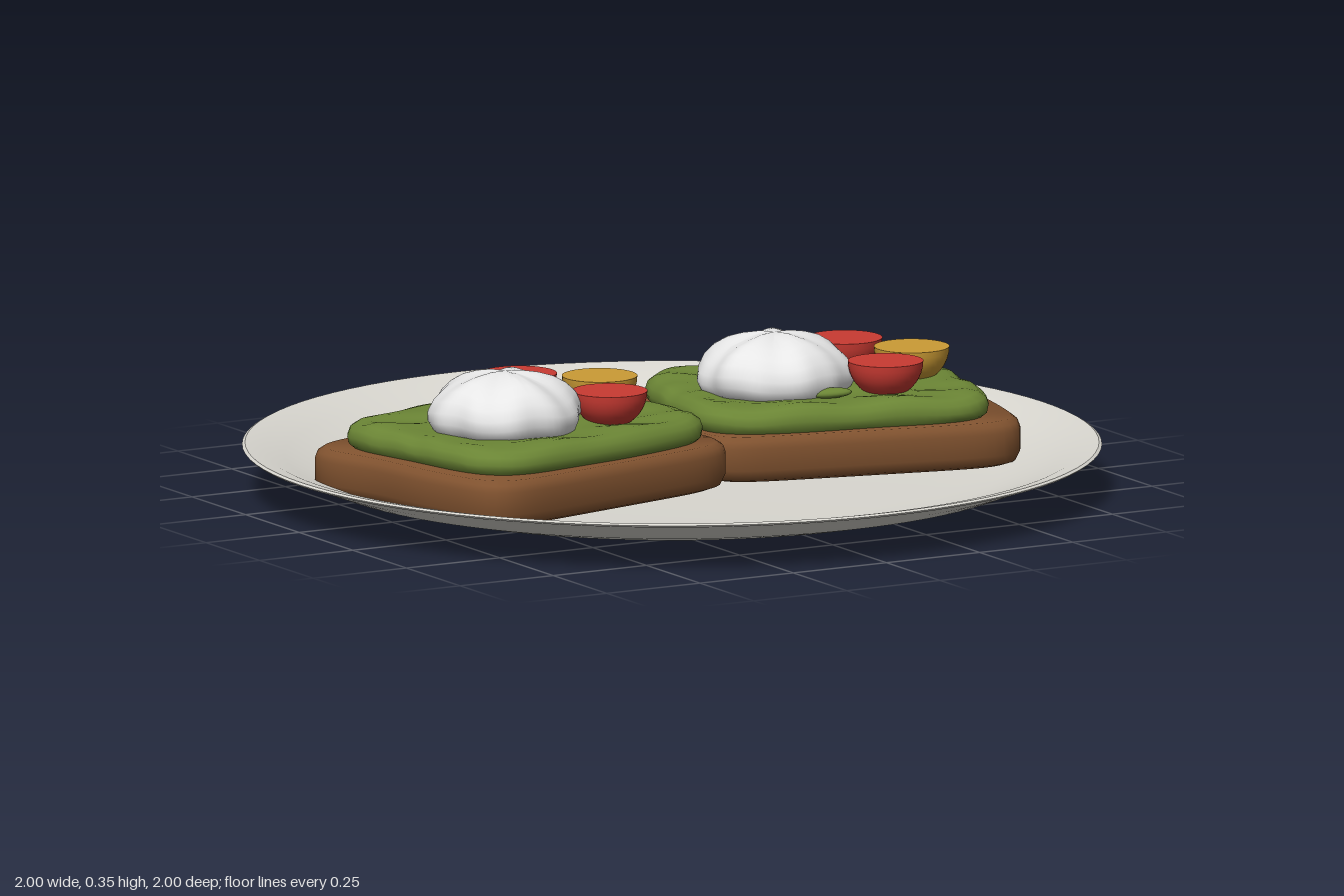
import * as THREE from 'three';
import { toCreasedNormals } from 'three/addons/utils/BufferGeometryUtils.js';

const paint = (name, color) => {
  const m = new THREE.MeshStandardMaterial({ color });
  m.name = name;
  return m;
};

// Lathe from [radius, y] points; an optional rule then moves each vertex.
function turned(points, segments, crease, rule) {
  const g = new THREE.LatheGeometry(points.map(([r, y]) => new THREE.Vector2(r, y)), segments);
  if (rule) {
    const p = g.attributes.position, v = new THREE.Vector3();
    for (let i = 0; i < p.count; i++) {
      v.fromBufferAttribute(p, i);
      rule(v, Math.atan2(v.x, v.z), Math.hypot(v.x, v.z));
      p.setXYZ(i, v.x, v.y, v.z);
    }
  }
  return toCreasedNormals(g, crease);
}

// Stretches a unit circle into a rounded rectangle of half sizes a and b.
function squareOff(v, angle, a, b, n) {
  const s = Math.abs(Math.sin(angle)) / a, c = Math.abs(Math.cos(angle)) / b;
  const k = Math.pow(Math.pow(s, n) + Math.pow(c, n), -1 / n);
  v.x *= k;
  v.z *= k;
}

export function createModel() {
  const model = new THREE.Group();
  const white = paint('plate white', 0xd9d7d0);
  const crust = paint('toast brown', 0x80522f);
  const green = paint('avocado green', 0x6b8535);
  const egg = paint('egg white', 0xe6e6e6);
  const red = paint('tomato red', 0xc93a32);
  const yellow = paint('tomato yellow', 0xcb9b35);

  const add = (parent, name, geometry, material, x = 0, y = 0, z = 0) => {
    const mesh = new THREE.Mesh(geometry, material);
    mesh.name = name;
    mesh.position.set(x, y, z);
    parent.add(mesh);
    return mesh;
  };

  // Plate with a recessed foot and a shallow sloping rim
  add(model, 'plate', turned([
    [0, 0.014], [0.48, 0.014], [0.495, 0], [0.59, 0], [0.64, 0.009], [0.74, 0.028], [0.84, 0.051],
    [0.91, 0.078], [0.96, 0.1], [0.995, 0.108], [1, 0.113], [0.993, 0.117], [0.95, 0.108],
    [0.9, 0.09], [0.83, 0.065], [0.76, 0.046], [0.68, 0.037], [0.6, 0.034], [0, 0.034],
  ], 96, 0.6), white);

  // Bread slice
  const breadShape = turned([
    [0, 0.05], [0.93, 0.05], [0.975, 0.057], [1, 0.08], [1, 0.132], [0.988, 0.148], [0.955, 0.158], [0, 0.16],
  ], 128, 0.9, (v, angle) => {
    squareOff(v, angle, 0.4, 0.345, 7);
    v.x *= 1 - 0.035 * Math.exp(-(((v.z + 0.1) / 0.12) ** 2));
  });

  // Uneven avocado layer
  const spreadShape = (seed) => turned([
    [0, 0.15], [0.95, 0.152], [0.99, 0.165], [1, 0.182], [0.985, 0.2], [0.94, 0.213], [0.87, 0.219],
    [0.75, 0.217], [0.6, 0.214], [0.45, 0.216], [0.3, 0.219], [0.15, 0.217], [0, 0.217],
  ], 96, 1.2, (v, angle, r) => {
    squareOff(v, angle, 0.365, 0.305, 5);
    const wobble = 1 + 0.012 * Math.sin(5 * angle + seed) * r;
    v.x *= wobble;
    v.z *= wobble;
    if (v.y > 0.18) v.y += 0.005 * Math.sin(v.x * 26 + seed + 2 * Math.sin(v.z * 17)) * Math.cos(v.z * 23 + seed);
  });

  // Poached egg with soft folds running down from the crown
  const eggShape = (seed) => turned([
    [0, 0.2], [0.145, 0.2], [0.17, 0.215], [0.181, 0.238], [0.179, 0.262], [0.165, 0.287],
    [0.143, 0.308], [0.113, 0.326], [0.077, 0.338], [0.038, 0.346], [0, 0.348],
  ], 72, 0.75, (v, angle, r) => {
    const fold = Math.sin(6 * angle + seed + 18 * v.y) + 0.6 * Math.sin(11 * angle - seed);
    const k = 1 + 0.026 * fold;
    v.x *= k;
    v.z *= k * 0.95;
    if (v.y > 0.21) v.y += 0.05 * r * Math.sin(5 * angle + seed * 2) * (v.y - 0.17) / 0.15;
  });

  // Halved tomato, cut side up
  const R = 0.088, bowl = [];
  for (let i = 0; i <= 10; i++) {
    const a = (i / 10) * Math.PI / 2;
    bowl.push([R * Math.sin(a), -R * Math.cos(a)]);
  }
  const tomatoShape = turned([...bowl, [0, 0]], 40, 0.6);

  // Small raised flake of avocado
  const flakeShape = new THREE.SphereGeometry(1, 20, 10).scale(0.052, 0.012, 0.02);

  const toasts = [
    {
      name: 'right', bread: [-0.42, 0.022], spread: [-0.402, 0.02], turn: 0.245, egg: [-0.495, 0.08], seed: 1,
      reds: [[-0.318, -0.16], [-0.242, 0.13]], gold: [-0.17, -0.042], flakes: [],
    },
    {
      name: 'left', bread: [0.432, -0.033], spread: [0.402, -0.03], turn: -0.215, egg: [0.288, -0.02], seed: 3.4,
      reds: [[0.555, -0.16], [0.497, 0.132]], gold: [0.637, 0.01],
      flakes: [[0.335, -0.25, 0.15], [0.375, -0.165, -0.1], [0.34, 0.145, -0.4]],
    },
  ];
  for (const t of toasts) {
    const toast = new THREE.Group();
    toast.name = t.name + 'Toast';
    model.add(toast);
    add(toast, 'bread', breadShape, crust, t.bread[0], 0, t.bread[1]).rotation.y = t.turn;
    add(toast, 'avocado', spreadShape(t.seed), green, t.spread[0], 0, t.spread[1]).rotation.y = t.turn;
    add(toast, 'poachedEgg', eggShape(t.seed), egg, t.egg[0], 0, t.egg[1]);
    for (const [x, z] of t.reds) add(toast, 'redTomato', tomatoShape, red, x, 0.285, z);
    add(toast, 'yellowTomato', tomatoShape, yellow, t.gold[0], 0.285, t.gold[1]);
    for (const [x, z, a] of t.flakes) {
      add(toast, 'avocadoFlake', flakeShape, green, x, 0.225, z).rotation.set(0.1, a, 0.08);
    }
  }
  return model;
}
